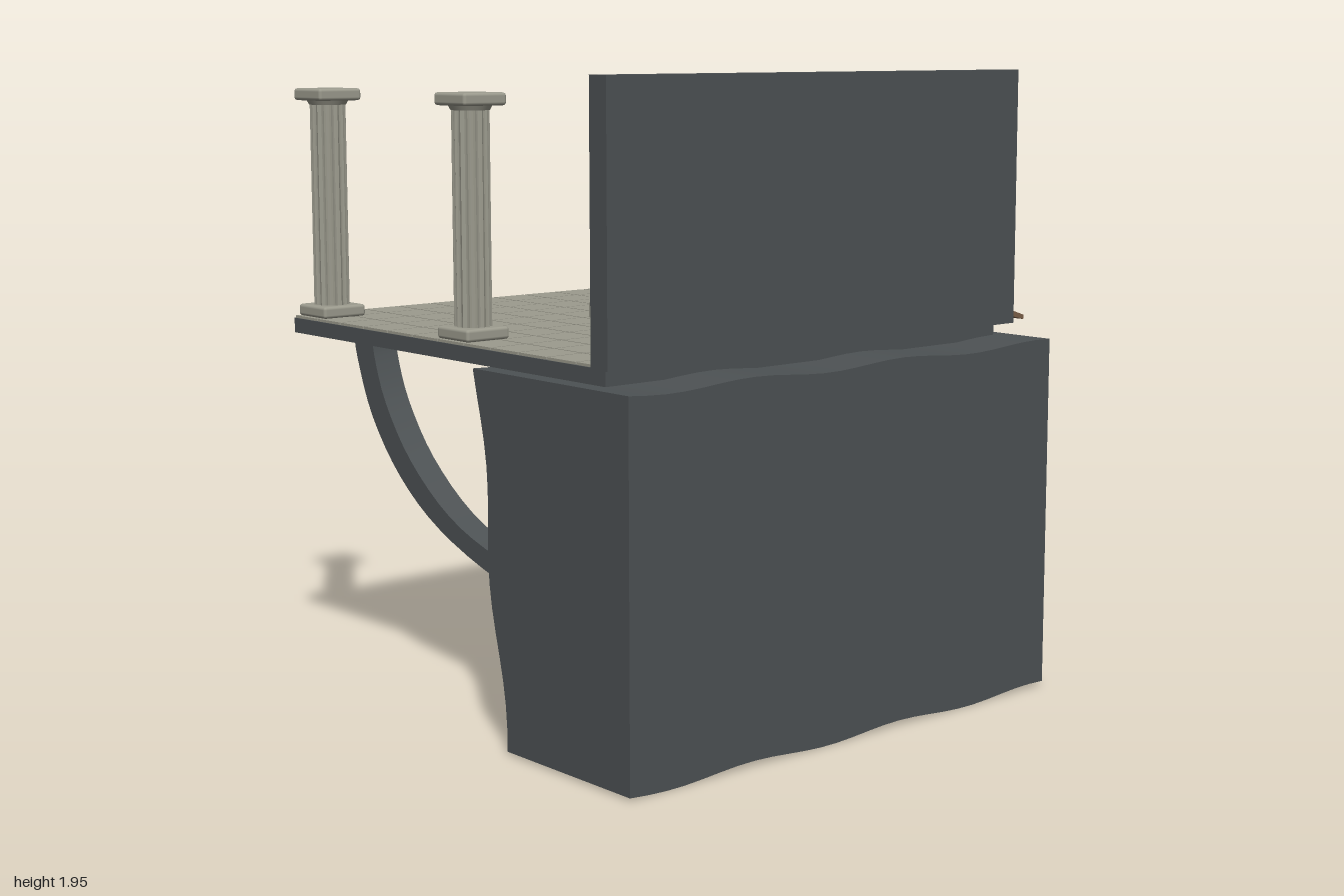
import * as THREE from 'three';
import { mergeGeometries, toCreasedNormals } from 'three/addons/utils/BufferGeometryUtils.js';
import { RoundedBoxGeometry } from 'three/addons/geometries/RoundedBoxGeometry.js';

const mat = (name, color, extra = {}) => {
  const m = new THREE.MeshStandardMaterial({ color, ...extra });
  m.name = name;
  return m;
};

export function createModel() {
  const rock = mat('darkRock', 0x4d5254);
  const cliffRock = rock;
  const stone = mat('paleStone', 0x9c9b8e);
  const wood = mat('wood', 0x7a5f48);
  const root = new THREE.Group();
  root.name = 'cliffTerrace';
  const CX = -0.145; // centre line of the terrace

  const add = (name, geo, m, x = 0, y = 0, z = 0, parent = root) => {
    const mesh = new THREE.Mesh(geo, m);
    mesh.name = name;
    mesh.position.set(x, y, z);
    parent.add(mesh);
    return mesh;
  };
  // box from its lower and upper bounds
  const block = (name, m, x0, x1, y0, y1, z0, z1, parent = root) =>
    add(name, new THREE.BoxGeometry(x1 - x0, y1 - y0, z1 - z0), m,
      (x0 + x1) / 2, (y0 + y1) / 2, (z0 + z1) / 2, parent);

  // cliff: a box whose back is pushed into diagonal ripples
  const backZ = (x, y) => 0.325 - 0.115 * y
    + 0.035 * Math.cos(9 * (y - 0.18) + 7 * (x - 0.71))
    + 0.02 * Math.cos(9 * (y - 0.18) - 17 * (x - 0.71));
  const cliff = new THREE.BoxGeometry(1.71, 1.1, 1, 26, 16, 1);
  const p = cliff.attributes.position;
  for (let i = 0; i < p.count; i++) {
    const x = p.getX(i) + CX;
    const y = p.getY(i) + 0.562;
    const z = p.getZ(i) > 0 ? 0.88 : backZ(x, y);
    p.setXYZ(i, x, y + 0.008 * Math.cos(10.5 * (x + 0.55)), z);
  }
  add('cliff', toCreasedNormals(cliff, 0.12), cliffRock);

  // front wall and terrace slab
  block('frontWall', rock, -0.97, 0.68, 1.16, 1.95, 0.685, 0.757);
  block('terraceSlab', rock, -0.935, 0.645, 1.11, 1.157, -0.875, 0.705);
  block('supportBeam', stone, -0.87, 0.58, 1.095, 1.112, -0.855, -0.73);

  // paving, 12 by 12 tiles
  const tiles = [];
  const pitch = 1.58 / 12;
  for (let i = 0; i < 12; i++) {
    for (let j = 0; j < 12; j++) {
      const t = new THREE.BoxGeometry(pitch - 0.007, 0.012, pitch - 0.007);
      t.translate(-0.935 + (i + 0.5) * pitch, 1.159, -0.875 + (j + 0.5) * pitch);
      tiles.push(t);
    }
  }
  add('pavingTiles', mergeGeometries(tiles), stone);

  // curved ribs carrying the overhang
  const spline = pts => new THREE.SplineCurve(pts.map(a => new THREE.Vector2(...a))).getPoints(28);
  const lower = spline([[0.36, 0.327], [0.305, 0.335], [-0.07, 0.4], [-0.385, 0.51],
    [-0.6, 0.65], [-0.755, 0.83], [-0.838, 1.02], [-0.852, 1.11]]);
  const upper = spline([[0.36, 0.397], [0.3, 0.405], [-0.07, 0.47], [-0.33, 0.56],
    [-0.54, 0.71], [-0.675, 0.88], [-0.737, 1.03], [-0.745, 1.11]]);
  const ribGeo = toCreasedNormals(new THREE.ExtrudeGeometry(
    new THREE.Shape([...lower, ...upper.reverse()]),
    { depth: 0.09, bevelEnabled: false }).translate(0, 0, -0.045).rotateY(-Math.PI / 2), 0.5);
  for (const dx of [-0.535, 0, 0.535]) add('supportRib', ribGeo, rock, CX + dx);

  // fluted columns
  const outline = [];
  for (let i = 0; i < 64; i++) {
    const a = (i / 64) * Math.PI * 2;
    const r = 0.057 - 0.006 * Math.abs(Math.sin(a * 8));
    outline.push(new THREE.Vector2(r * Math.cos(a), r * Math.sin(a)));
  }
  const shaft = new THREE.ExtrudeGeometry(new THREE.Shape(outline), { depth: 0.67, bevelEnabled: false });
  shaft.rotateX(-Math.PI / 2);
  const plate = new RoundedBoxGeometry(0.155, 0.038, 0.155, 2, 0.01);
  const collar = new THREE.CylinderGeometry(0.066, 0.058, 0.015, 24);
  for (const x of [-0.842, 0.553]) {
    for (const z of [-0.797, -0.028]) {
      const col = new THREE.Group();
      col.name = 'column';
      col.position.set(x, 0, z);
      root.add(col);
      add('columnBase', plate, stone, 0, 1.183, 0, col);
      add('columnShaft', shaft, stone, 0, 1.19, 0, col);
      add('columnCollar', collar, stone, 0, 1.846, 0, col);
      add('columnCapital', plate, stone, 0, 1.871, 0, col);
    }
  }

  // statue on its plinth
  const statue = new THREE.Group();
  statue.name = 'statue';
  statue.position.set(CX, 0, -0.095);
  root.add(statue);
  block('plinth', stone, -0.112, 0.112, 1.16, 1.212, -0.112, 0.112, statue);
  block('plinthTop', stone, -0.105, 0.105, 1.212, 1.224, -0.105, 0.105, statue);
  const robe = [[0, 0], [0.052, 0], [0.05, 0.02], [0.04, 0.1], [0.032, 0.18], [0.03, 0.21],
    [0.042, 0.26], [0.046, 0.285], [0.03, 0.305], [0.012, 0.312], [0.011, 0.33], [0, 0.33]];
  add('robe', new THREE.LatheGeometry(robe.map(a => new THREE.Vector2(...a)), 20), stone, 0, 1.224, 0, statue)
    .scale.z = 0.7;
  add('head', new THREE.SphereGeometry(0.024, 14, 10), stone, 0, 1.562, 0, statue).scale.y = 1.2;
  add('crest', new THREE.ConeGeometry(0.012, 0.03, 10), stone, 0, 1.602, -0.002, statue);
  for (const s of [-1, 1]) {
    const arm = new THREE.CatmullRomCurve3([[0.035, 1.505, 0], [0.075, 1.465, 0.004],
      [0.1, 1.47, 0], [0.125, 1.5, -0.012]].map(a => new THREE.Vector3(a[0] * s, a[1], a[2])));
    add('arm', new THREE.TubeGeometry(arm, 12, 0.012, 8), stone, 0, 0, 0, statue);
    add('shoulder', new THREE.SphereGeometry(0.018, 10, 8), stone, 0.036 * s, 1.505, 0, statue);
    add('hand', new THREE.SphereGeometry(0.015, 10, 8), stone, 0.127 * s, 1.506, -0.013, statue);
  }

  // gangplank with a bent outer end
  const plank = new THREE.Shape([[0.56, 1.15], [0.9, 1.15], [1, 1.125], [1, 1.14], [0.91, 1.169],
    [0.56, 1.169]].map(a => new THREE.Vector2(...a)));
  add('gangplank', new THREE.ExtrudeGeometry(plank, { depth: 0.175, bevelEnabled: false }), wood, 0, 0, 0.35);

  return root;
}
